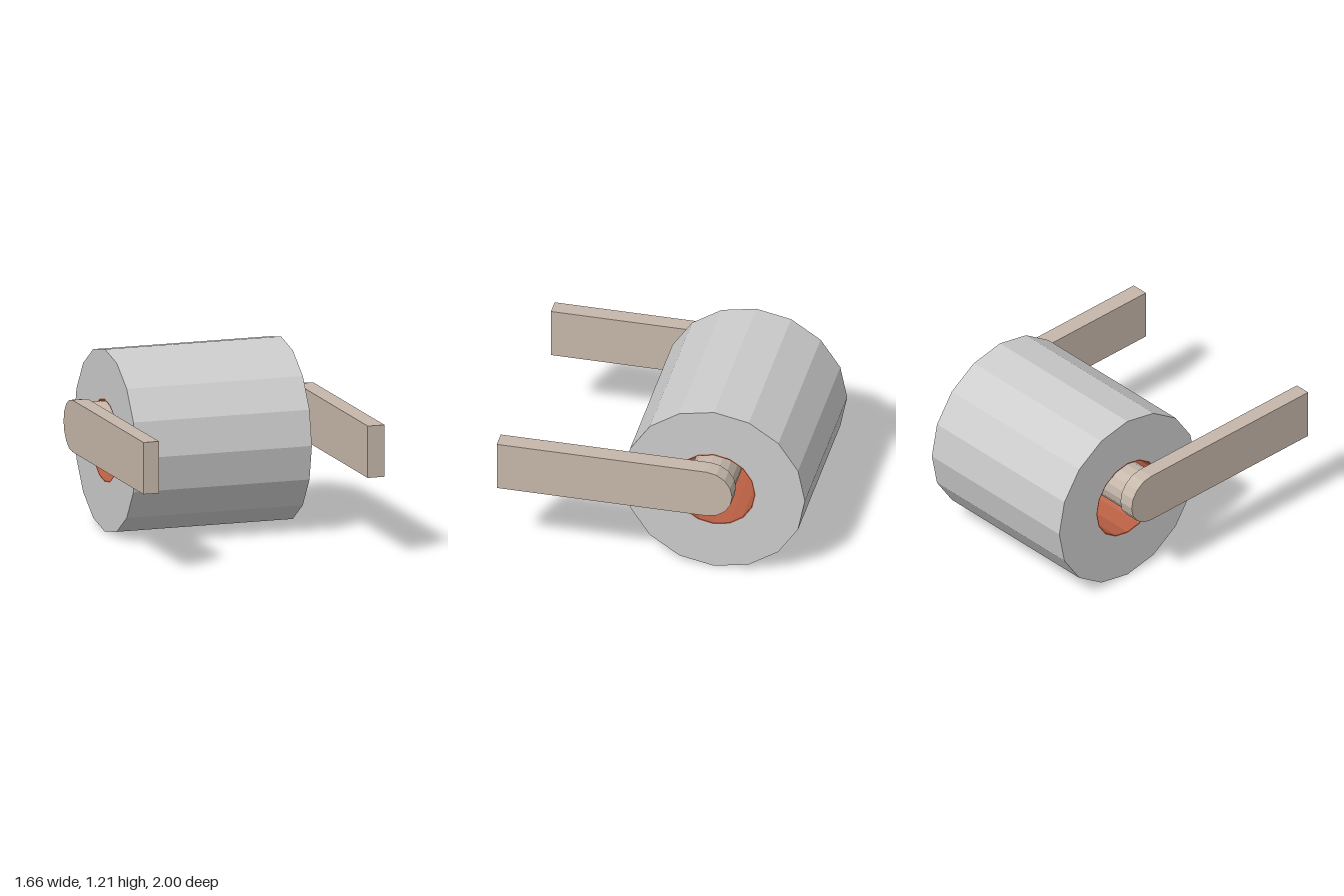
import * as THREE from 'three';

const SIDES = 16;
const metal = new THREE.MeshStandardMaterial({ color: 0xc6b7aa, flatShading: true });
const paper = new THREE.MeshStandardMaterial({ color: 0xcccccc, flatShading: true });
const card = new THREE.MeshStandardMaterial({ color: 0xb85f44, flatShading: true });

// Points on a circle in the side profile (u = -z, v = y)
function arc(u, v, r, from = 0, steps = SIDES) {
  return Array.from({ length: steps }, (_, i) => {
    const a = from + (i * Math.PI * 2) / SIDES;
    return new THREE.Vector2(u + r * Math.cos(a), v + r * Math.sin(a));
  });
}

// Extrude a side profile along x between x0 and x1
function part(name, points, x0, x1, material, hole) {
  const shape = new THREE.Shape(points);
  if (hole) shape.holes.push(new THREE.Path(hole));
  const geometry = new THREE.ExtrudeGeometry(shape, { depth: x1 - x0, bevelEnabled: false, steps: 1 });
  geometry.translate(0, 0, x0).rotateY(Math.PI / 2);
  const mesh = new THREE.Mesh(geometry, material);
  mesh.name = name;
  return mesh;
}

export function createModel() {
  const group = new THREE.Group();
  group.name = 'rollHolder';
  const u = 0.395, rollY = 0.605, axleY = 0.717;

  // Paper roll and its thin cardboard core
  group.add(part('paperRoll', arc(u, rollY, 0.605), -0.605, 0.605, paper, arc(u, rollY, 0.277)));
  group.add(part('cardboardCore', arc(u, rollY, 0.277), -0.605, 0.605, card, arc(u, rollY, 0.269)));

  // Axle through the core, in two telescoping halves
  group.add(part('axleNarrow', arc(u, axleY, 0.15), -0.725, 0, metal));
  group.add(part('axleWide', arc(u, axleY, 0.154), 0, 0.715, metal));

  // Side arms with a rounded rear end
  const r = 0.172;
  const profile = [
    new THREE.Vector2(-1, axleY - r),
    ...arc(u, axleY, r, -Math.PI / 2, SIDES / 2 + 1),
    new THREE.Vector2(-1, axleY + r),
  ];
  group.add(part('leftArm', profile, 0.712, 0.827, metal));
  group.add(part('rightArm', profile, -0.829, -0.722, metal));
  return group;
}
